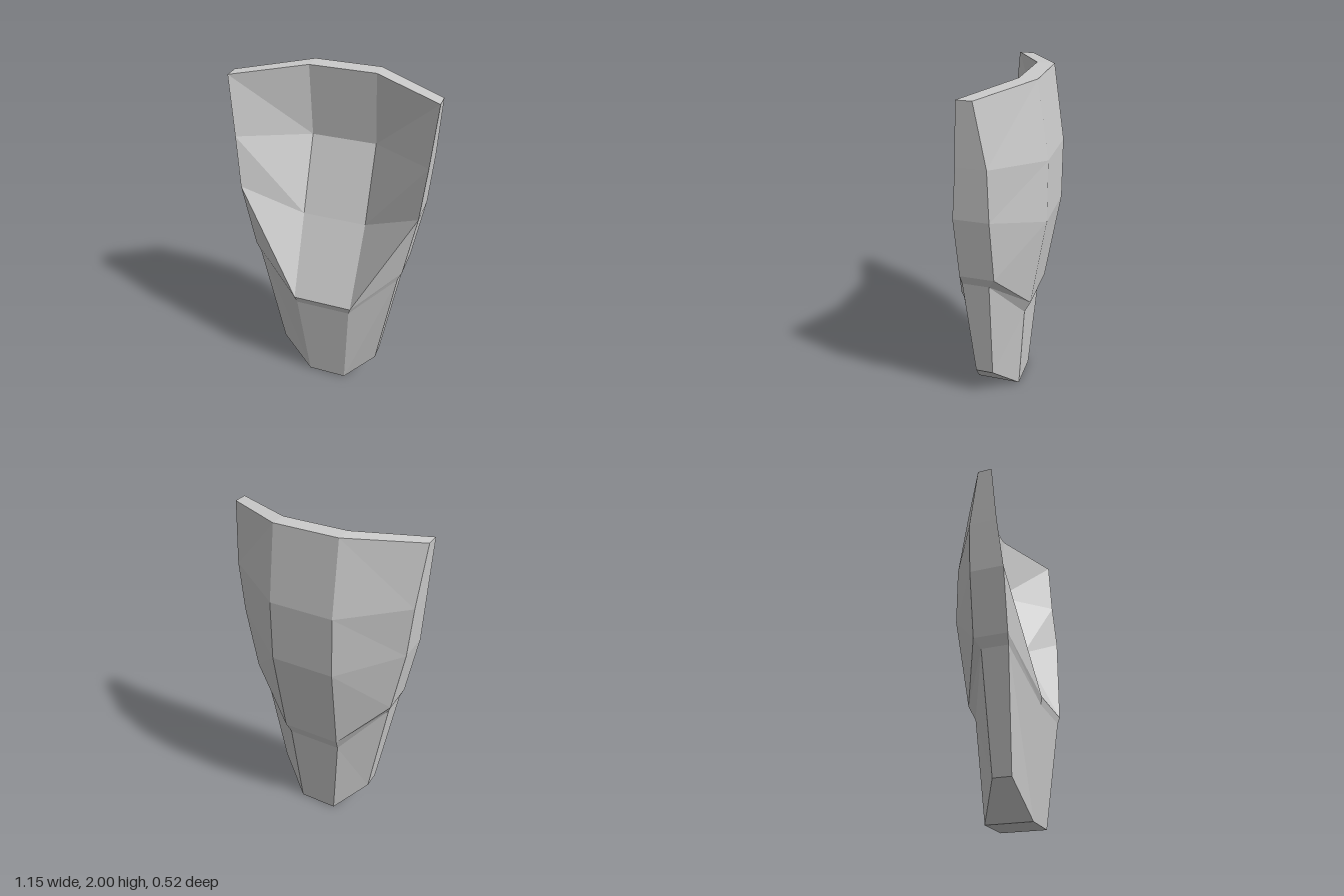
import * as THREE from 'three';

// Each level of the plate: a centre panel edge and an outer edge, front and back.
// xc: half-width of centre panel, f/b: [y, z] of its front and back,
// xe, ye: outer edge, ze: [front z, back z] of the outer edge
const levels = [
  { xc: 0.19, f: [2.0, -0.1], b: [2.0, -0.2], xe: 0.575, ye: 1.97, ze: [0.105, 0.02] },
  { xc: 0.19, f: [1.57, -0.138], b: [1.57, -0.265], xe: 0.55, ye: 1.62, ze: [0.13, -0.037] },
  { xc: 0.19, f: [1.13, 0.035], b: [1.21, -0.265], xe: 0.525, ye: 1.32, ze: [0.163, -0.037] },
  { xc: 0.177, f: [0.66, 0.26], b: [0.66, -0.175], xe: 0.455, ye: 0.94, ze: [0.163, -0.037] },
  { xc: 0.165, f: [0.62, 0.25], b: [0.58, -0.135], xe: 0.43, ye: 0.88, ze: [0.158, 0.0] },
  { xc: 0.118, f: [0, 0.182], b: [0, -0.09], xe: 0.31, ye: 0.195, ze: [0.132, 0.025] },
];

// Eight-point ring, anticlockwise seen from above, starting at the front -x corner
function ring({ xc, f, b, xe, ye, ze }) {
  return [
    [-xe, ye, ze[0]], [-xc, ...f], [xc, ...f], [xe, ye, ze[0]],
    [xe, ye, ze[1]], [xc, ...b], [-xc, ...b], [-xe, ye, ze[1]],
  ];
}

// Faceted loft through the rings, optionally closed at the top or bottom
function loft(name, rows, capTop, capBottom) {
  const rings = rows.map(ring);
  const pos = [];
  // the diagonal is mirrored on the -x half so both sides match
  const quad = (a, b, c, d, flip) => {
    if (flip) pos.push(...b, ...c, ...d, ...b, ...d, ...a);
    else pos.push(...a, ...b, ...c, ...a, ...c, ...d);
  };
  for (let r = 0; r < rings.length - 1; r++) {
    const up = rings[r], low = rings[r + 1];
    for (let i = 0; i < 8; i++) {
      const j = (i + 1) % 8;
      quad(low[i], low[j], up[j], up[i], i === 0 || i === 6);
    }
  }
  // caps are three strips joining front to back
  for (let i = 0; i < 3; i++) {
    const t = rings[0], b = rings[rings.length - 1];
    if (capTop) quad(t[i], t[i + 1], t[6 - i], t[7 - i], i === 0);
    if (capBottom) quad(b[7 - i], b[6 - i], b[i + 1], b[i], i === 0);
  }
  const geo = new THREE.BufferGeometry();
  geo.setAttribute('position', new THREE.Float32BufferAttribute(pos, 3));
  geo.computeVertexNormals();
  const mesh = new THREE.Mesh(geo, new THREE.MeshStandardMaterial({ color: 0xcccccc, flatShading: true }));
  mesh.name = name;
  return mesh;
}

export function createModel() {
  const group = new THREE.Group();
  group.name = 'armourPlate';
  group.add(loft('upperPlate', levels.slice(0, 4), true, false));
  group.add(loft('steppedLip', levels.slice(3, 5), false, false));
  group.add(loft('lowerPlate', levels.slice(4), false, true));
  return group;
}
